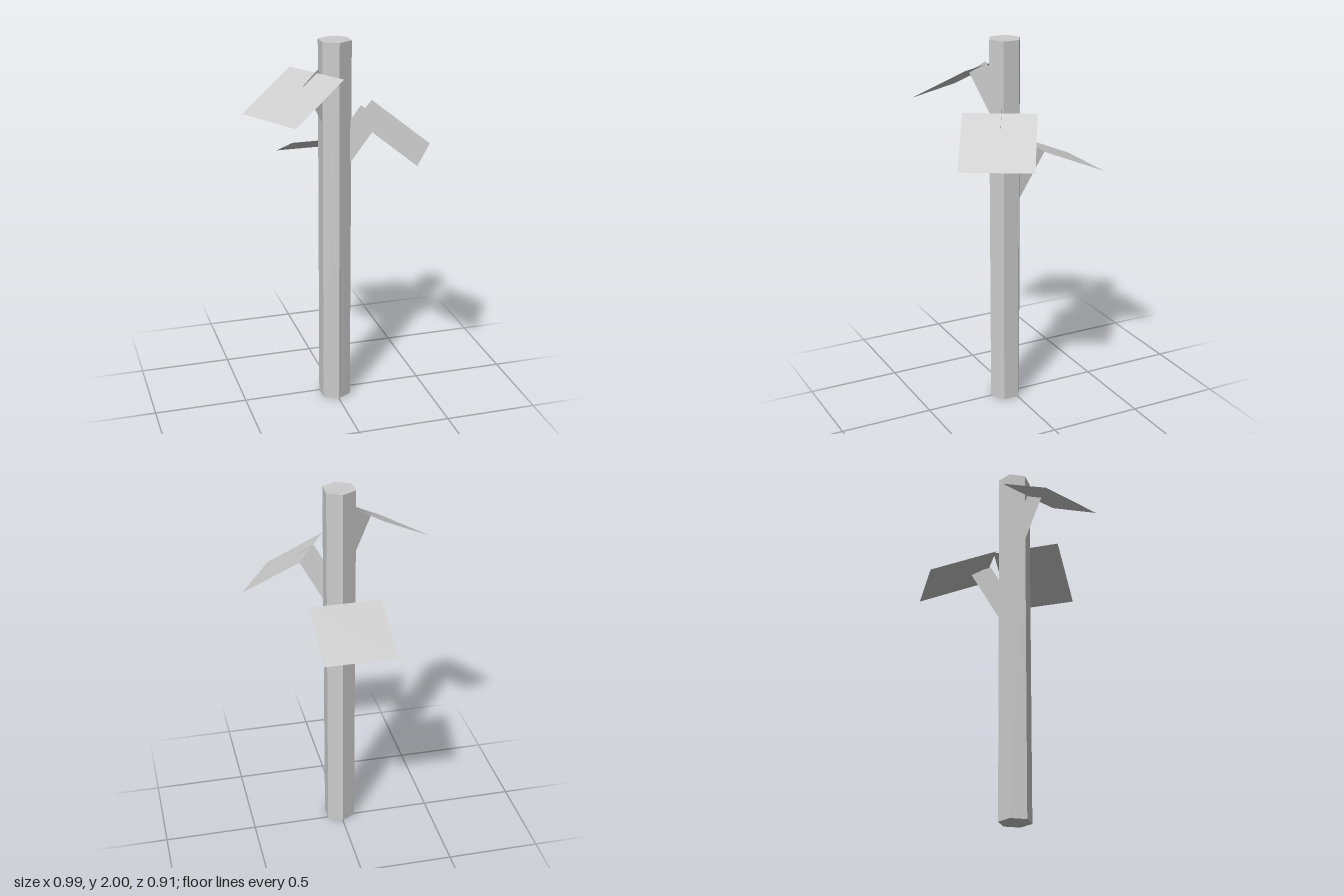
import * as THREE from 'three';

const material = new THREE.MeshStandardMaterial({ color: 0xcccccc, flatShading: true });
const sheetMaterial = new THREE.MeshStandardMaterial({
  color: 0xcccccc, flatShading: true, side: THREE.DoubleSide,
});

const LEAF_SIZE = 0.38;
const STEM_LENGTH = 0.35;

// Square leaf sloping down and outward from [radius, height] to [radius, height]
function makeLeaf([r0, y0], [r1, y1], offset) {
  const geometry = new THREE.PlaneGeometry(LEAF_SIZE, LEAF_SIZE).rotateX(-Math.PI / 2);
  const leaf = new THREE.Mesh(geometry, sheetMaterial);
  leaf.name = 'leaf';
  leaf.position.set((r0 + r1) / 2, (y0 + y1) / 2, offset);
  leaf.rotation.z = Math.atan2(y1 - y0, r1 - r0);
  return leaf;
}

// Flat upright stem: a strip running from its cut tip down into the trunk
function makeStem([r0, y0], [r1, y1], offset) {
  const inner = new THREE.Vector2(r0, y0);
  const outer = new THREE.Vector2(r1, y1);
  const edge = outer.clone().sub(inner).normalize();
  const down = new THREE.Vector2(edge.y, -edge.x).multiplyScalar(STEM_LENGTH);
  const shape = new THREE.Shape([
    inner, inner.clone().add(down), outer.clone().add(down), outer,
  ]);
  const stem = new THREE.Mesh(new THREE.ShapeGeometry(shape), sheetMaterial);
  stem.name = 'stem';
  stem.position.z = offset;
  return stem;
}

export function createModel() {
  const model = new THREE.Group();
  model.name = 'trunkWithLeaves';

  // Six-sided trunk
  const trunk = new THREE.Mesh(new THREE.CylinderGeometry(0.088, 0.088, 2, 6), material);
  trunk.name = 'trunk';
  trunk.position.set(0, 1, 0.038);
  model.add(trunk);

  // Three branches around the trunk; leaf and tip are [radius, height] pairs, inner then outer
  const branches = [
    { name: 'backBranch', angle: 90, offset: 0, stemOffset: 0,
      leaf: [[0.143, 1.43], [0.493, 1.28]], tip: [[0.137, 1.44], [0.24, 1.375]] },
    { name: 'leftBranch', angle: -30, offset: 0.016, stemOffset: 0.007,
      leaf: [[0.157, 1.65], [0.47, 1.435]], tip: [[0.139, 1.67], [0.245, 1.6]] },
    { name: 'rightBranch', angle: -150, offset: 0.009, stemOffset: 0.004,
      leaf: [[0.124, 1.848], [0.457, 1.668]], tip: [[0.117, 1.868], [0.225, 1.8]] },
  ];
  for (const { name, angle, offset, stemOffset, leaf, tip } of branches) {
    const branch = new THREE.Group();
    branch.name = name;
    branch.position.z = 0.038;
    branch.rotation.y = THREE.MathUtils.degToRad(angle);
    branch.add(makeLeaf(...leaf, offset), makeStem(...tip, stemOffset));
    model.add(branch);
  }
  return model;
}
